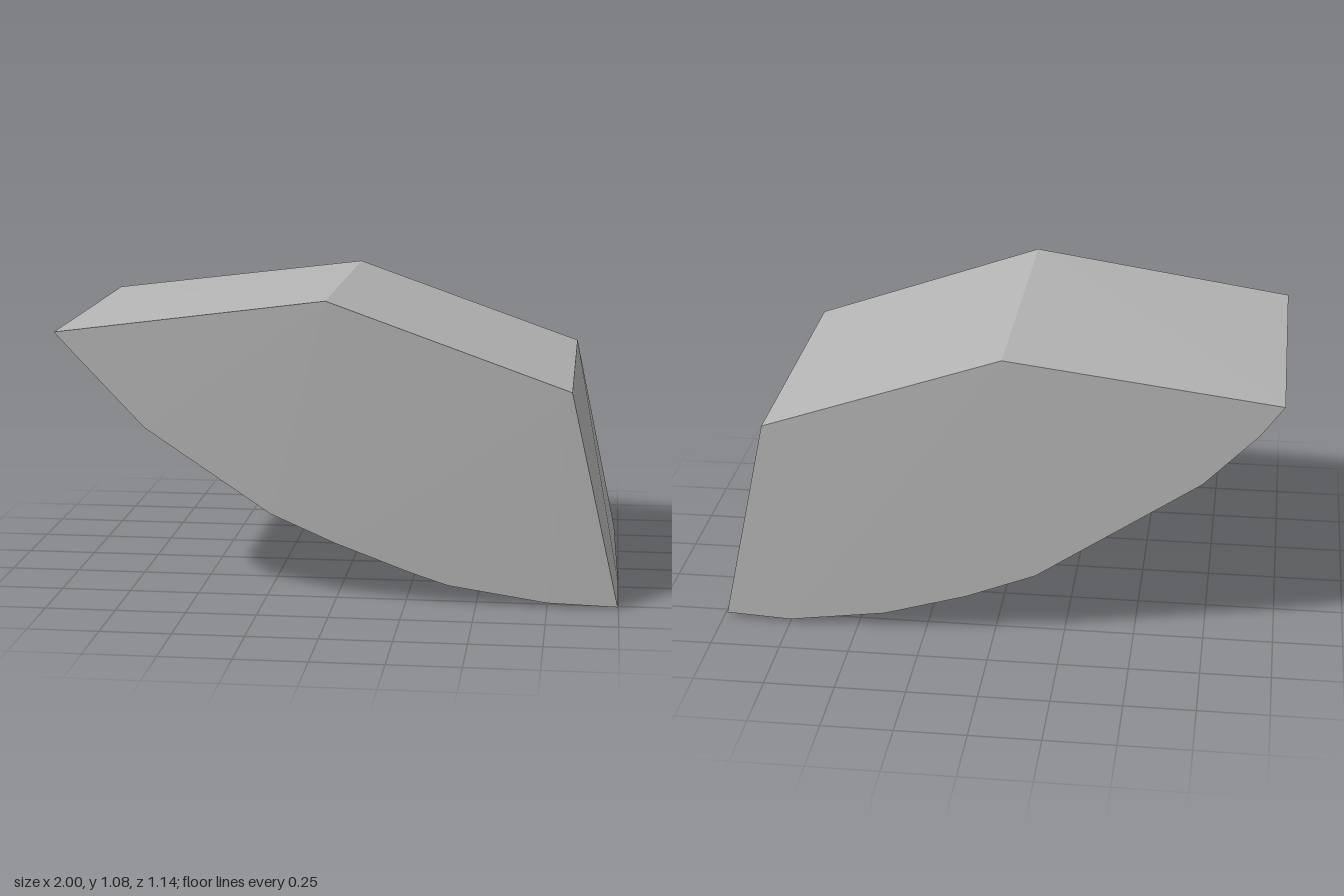
import * as THREE from 'three';
import { ConvexGeometry } from 'three/addons/geometries/ConvexGeometry.js';

export function createModel() {
  const group = new THREE.Group();
  group.name = 'cutBlock';
  const grey = new THREE.MeshStandardMaterial({ color: 0xb4b4b4 });
  grey.name = 'stoneGrey';

  // front outline: roof corners, then the curved belly
  const front = [
    [-1, 0.945, 0.525], [-0.03, 1.077, 0.562], [0.825, 0.775, 0.567], [0.997, 0.007, 0.535],
    [0.75, 0.015, 0.538], [0.4, 0.068, 0.54], [0.27, 0.11, 0.54], [0, 0.21, 0.54],
    [-0.23, 0.31, 0.54], [-0.68, 0.61, 0.535], [-0.92, 0.86, 0.528],
  ];
  // back outline, with a slightly fuller belly
  const back = [
    [-1, 0.95, -0.57], [-0.03, 1.07, -0.565], [0.825, 0.772, -0.548], [0.985, 0.02, -0.557],
    [0.75, 0.01, -0.562], [0.4, 0.06, -0.565], [0.1, 0.15, -0.567], [-0.15, 0.25, -0.568],
    [-0.73, 0.645, -0.57], [-0.92, 0.84, -0.57],
  ];
  // lowest point of the bottom edge
  const keel = [[1, 0, 0.2]];

  const points = [...front, ...back, ...keel].map((p) => new THREE.Vector3(...p));
  const block = new THREE.Mesh(new ConvexGeometry(points), grey);
  block.name = 'block';
  group.add(block);
  return group;
}
